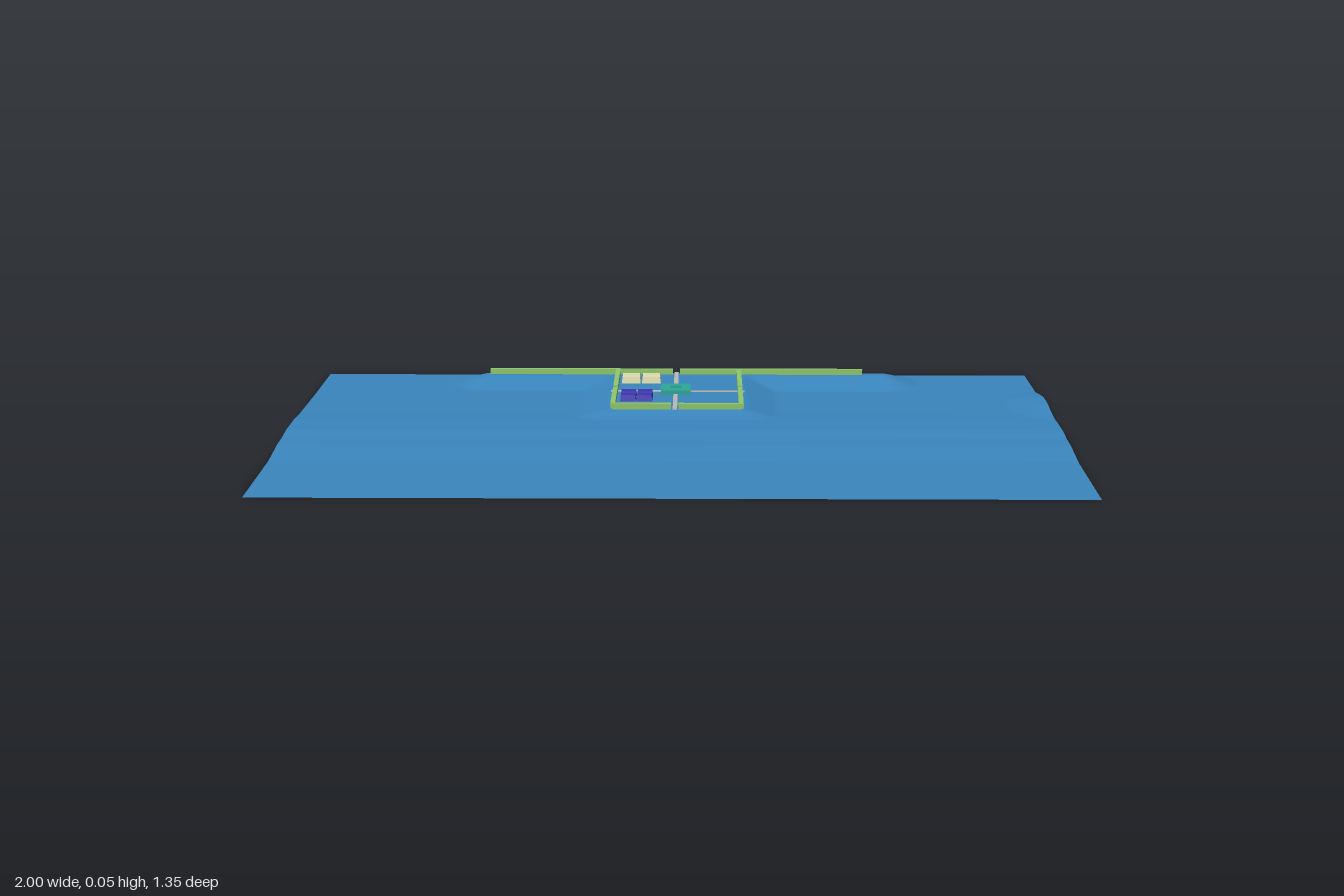
import * as THREE from 'three';

const mat = (color, side = THREE.FrontSide) => new THREE.MeshStandardMaterial({ color, side });
const GREEN = mat(0x8fc86c), CREAM = mat(0xe0dfb0), PURPLE = mat(0x3a34b0);
const TEAL = mat(0x2ca89a), PATH = mat(0xbdb8b4);
const EARTH = mat(0x3a86be, THREE.DoubleSide);

// Enclosure limits and levels
const X0 = -0.165, X1 = 0.176, Z0 = -0.565, Z1 = -0.125, CZ = -0.335;
const FLOOR = 0.031, WALL_TOP = 0.046, THICK = 0.013;

// Height of the open ground from front to back: [z, y]
const PROFILE = [[0.675, 0], [0.33, 0.001], [0.2, 0.012], [0.13, 0.013], [0.07, 0.018],
  [-0.05, 0.017], [-0.15, 0.012], [-0.4, 0.007], [-0.675, 0.005]];

function openGround(z) {
  for (let i = 1; i < PROFILE.length; i++) {
    const [za, ya] = PROFILE[i - 1], [zb, yb] = PROFILE[i];
    if (z >= zb) return THREE.MathUtils.lerp(ya, yb, (za - z) / (za - zb));
  }
  return PROFILE.at(-1)[1];
}

// 1 inside a rectangle, fading to 0 over the given slope widths
function raised(x, z, [xa, xb, za, zb], sx, sFront, sBack) {
  const dx = Math.max(xa - x, x - xb, 0) / sx;
  const dz = Math.max((z - zb) / sFront, (za - z) / sBack, 0);
  return Math.max(0, 1 - Math.hypot(dx, dz));
}

function groundHeight(x, z) {
  const base = openGround(z);
  const court = raised(x, z, [X0 - 0.015, X1 + 0.015, Z0 - 0.015, Z1 + 0.01], 0.08, 0.06, 0.09);
  const bank = raised(x, z, [-0.53, 0.59, -0.58, -0.55], 0.09, 0.1, 0.09);
  const edge = raised(x, z, [1, 1.1, -0.3, -0.22], 0.1, 0.15, 0.15);
  return Math.max(base, THREE.MathUtils.lerp(base, FLOOR, Math.max(court, bank)),
    THREE.MathUtils.lerp(base, 0.027, edge));
}

function box(parent, name, material, xa, xb, ya, yb, za, zb) {
  const m = new THREE.Mesh(new THREE.BoxGeometry(xb - xa, yb - ya, zb - za), material);
  m.position.set((xa + xb) / 2, (ya + yb) / 2, (za + zb) / 2);
  m.name = name;
  parent.add(m);
  return m;
}

function group(parent, name) {
  const g = new THREE.Group();
  g.name = name;
  parent.add(g);
  return g;
}

// Wall run along x or z, broken by an optional gate
function wall(parent, name, axis, at, from, to, gate) {
  const runs = gate === undefined ? [[from, to]] : [[from, gate - 0.01], [gate + 0.01, to]];
  const h = THICK / 2;
  for (const [a, b] of runs) {
    if (axis === 'x') box(parent, name, GREEN, a, b, FLOOR - 0.006, WALL_TOP, at - h, at + h);
    else box(parent, name, GREEN, at - h, at + h, FLOOR - 0.006, WALL_TOP, a, b);
  }
}

// Low hipped block: a box whose top is drawn in
function hippedBlock(parent, name, material, x, z, w, d, h) {
  const geo = new THREE.BoxGeometry(w, h, d);
  const p = geo.attributes.position;
  for (let i = 0; i < p.count; i++) {
    if (p.getY(i) > 0) p.setXYZ(i, p.getX(i) * 0.9, p.getY(i), p.getZ(i) * 0.8);
  }
  geo.computeVertexNormals();
  const m = new THREE.Mesh(geo, material);
  m.position.set(x, FLOOR + h / 2, z);
  m.name = name;
  parent.add(m);
}

export function createModel() {
  const model = new THREE.Group();
  model.name = 'walledFort';

  // Rolling ground sheet
  const land = new THREE.PlaneGeometry(2, 1.35, 160, 120).rotateX(-Math.PI / 2);
  const p = land.attributes.position;
  for (let i = 0; i < p.count; i++) p.setY(i, groundHeight(p.getX(i), p.getZ(i)));
  land.computeVertexNormals();
  const ground = new THREE.Mesh(land, EARTH);
  ground.name = 'ground';
  model.add(ground);

  // Long rear wall and the walls of the enclosure
  const walls = group(model, 'walls');
  wall(walls, 'longWall', 'x', Z0, -0.527, 0.525, 0);
  wall(walls, 'frontWall', 'x', Z1, X0, X1, 0);
  wall(walls, 'rightWall', 'z', X0, Z0, Z1, CZ);
  wall(walls, 'leftWall', 'z', X1, Z0, Z1, CZ);

  // Crossing paths through the gates
  const paths = group(model, 'paths');
  box(paths, 'longPath', PATH, -0.006, 0.006, FLOOR - 0.004, FLOOR + 0.003, Z0 - 0.012, Z1 + 0.012);
  box(paths, 'crossPath', PATH, X0 - 0.012, X1 + 0.012, FLOOR - 0.004, FLOOR + 0.0025, CZ - 0.006, CZ + 0.006);

  // Central hall around an open court
  const outline = new THREE.Shape([[-0.04, -0.043], [0.04, -0.043], [0.04, 0.043], [-0.04, 0.043]]
    .map(([x, y]) => new THREE.Vector2(x, y)));
  outline.holes.push(new THREE.Path([[-0.016, -0.016], [-0.016, 0.016], [0.016, 0.016], [0.016, -0.016]]
    .map(([x, y]) => new THREE.Vector2(x, y))));
  const hallGeo = new THREE.ExtrudeGeometry(outline, { depth: 0.013, bevelEnabled: false });
  const hall = new THREE.Mesh(hallGeo.rotateX(-Math.PI / 2), TEAL);
  hall.position.set(0, FLOOR, CZ);
  hall.name = 'centralHall';
  model.add(hall);
  box(model, 'courtFloor', TEAL, -0.014, 0.014, FLOOR, FLOOR + 0.007, CZ - 0.014, CZ + 0.014);

  // Two blocks of four buildings
  const cream = group(model, 'creamBuildings'), purple = group(model, 'purpleBuildings');
  for (const sx of [-1, 1]) {
    for (const sz of [-1, 1]) {
      hippedBlock(cream, 'creamBuilding', CREAM, -0.097 + sx * 0.028, -0.469 + sz * 0.0155, 0.053, 0.027, 0.018);
      hippedBlock(purple, 'purpleBuilding', PURPLE, -0.105 + sx * 0.022, -0.255 + sz * 0.022, 0.043, 0.04, 0.016);
    }
  }
  return model;
}
